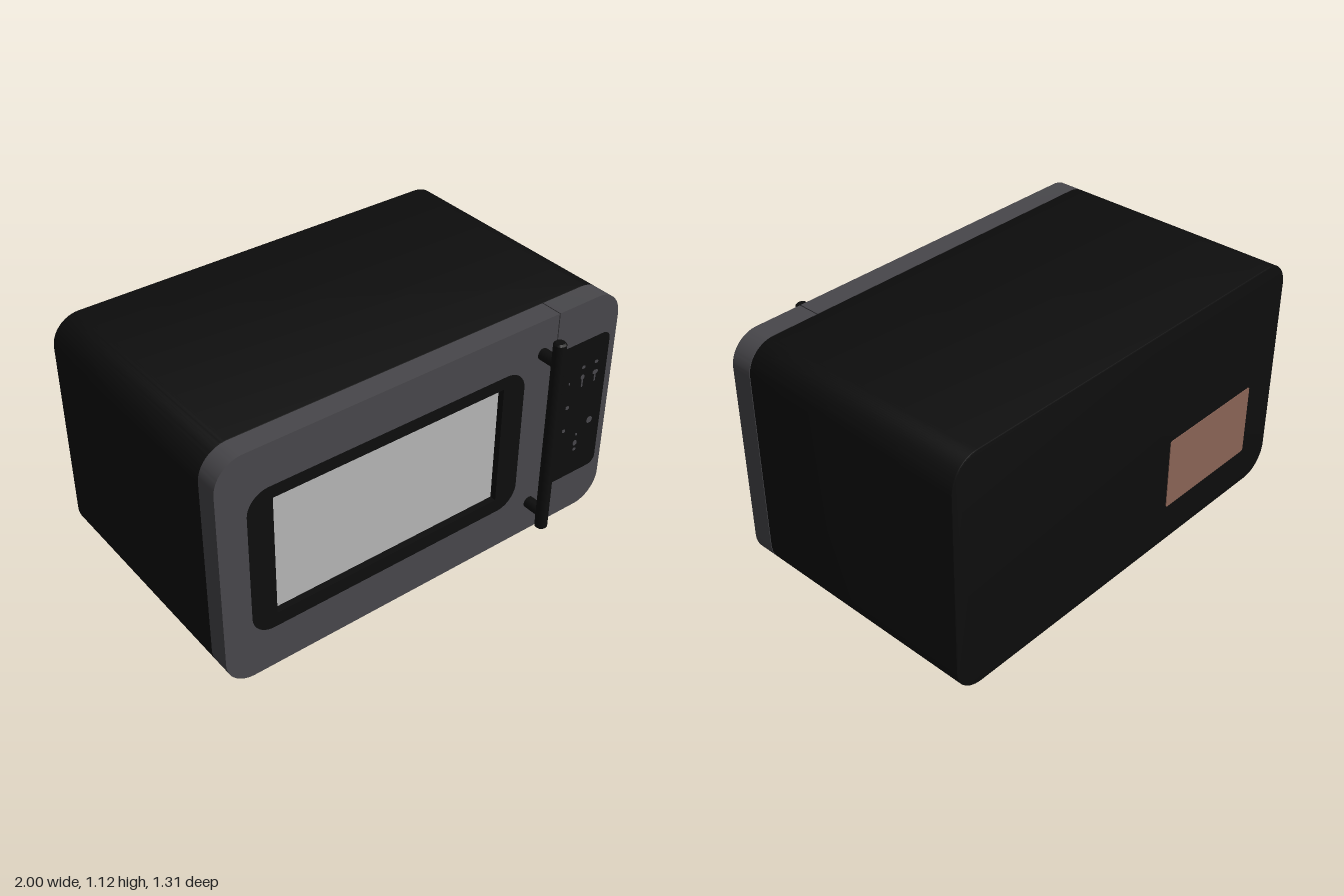
import * as THREE from 'three';
import { toCreasedNormals } from 'three/addons/utils/BufferGeometryUtils.js';

const mat = (name, color) => {
  const m = new THREE.MeshStandardMaterial({ color });
  m.name = name;
  return m;
};

// Rounded rectangle path; radii run bottom-left, bottom-right, top-right, top-left
function roundRect(path, x0, y0, x1, y1, [a, b, c, d]) {
  const H = Math.PI / 2;
  path.moveTo(x0 + a, y0);
  path.lineTo(x1 - b, y0);
  if (b) path.absarc(x1 - b, y0 + b, b, -H, 0, false);
  path.lineTo(x1, y1 - c);
  if (c) path.absarc(x1 - c, y1 - c, c, 0, H, false);
  path.lineTo(x0 + d, y1);
  if (d) path.absarc(x0 + d, y1 - d, d, H, 2 * H, false);
  path.lineTo(x0, y0 + a);
  if (a) path.absarc(x0 + a, y0 + a, a, 2 * H, 3 * H, false);
  return path;
}

// Slab between two z positions, with an optional hole and edge bevel
function slab(name, material, rect, radii, z0, z1, hole, holeRadii, bevel = 0) {
  const [x0, y0, x1, y1] = rect;
  const shape = roundRect(new THREE.Shape(), x0, y0, x1, y1, radii);
  if (hole) shape.holes.push(roundRect(new THREE.Path(), ...hole, holeRadii));
  const geo = new THREE.ExtrudeGeometry(shape, {
    depth: z1 - z0 - 2 * bevel, curveSegments: 12, bevelEnabled: bevel > 0,
    bevelSize: bevel, bevelThickness: bevel, bevelOffset: -bevel, bevelSegments: 2,
  });
  geo.translate(0, 0, z0 + bevel);
  const mesh = new THREE.Mesh(toCreasedNormals(geo, 0.6), material);
  mesh.name = name;
  return mesh;
}

export function createModel() {
  const black = mat('black casing', 0x0d0d0d);
  const gray = mat('dark gray front', 0x48474b);
  const silver = mat('window glass', 0xb6b6b6);
  const brown = mat('brown label', 0x8a6456);
  const model = new THREE.Group();
  model.name = 'microwave';

  const R = 0.13, bottom = 0.03, top = 1.123, front = 0.538;
  const frame = [-0.87, 0.23, 0.485, 0.928];
  const glass = [-0.755, 0.297, 0.37, 0.87];
  const four = (r) => [r, r, r, r];

  // Casing
  model.add(slab('casing', black, [-1, bottom, 1, top], four(R), -0.652, 0.437, null, null, 0.005));

  // Door, its window frame and the recessed glass
  model.add(slab('door', gray, [-1, bottom, 0.648, top], [R, 0, 0, R], 0.437, front, frame, four(0.1)));
  model.add(slab('windowFrame', black, frame, four(0.1), 0.44, front, glass, four(0)));
  model.add(slab('windowGlass', silver, glass, four(0), 0.5, 0.508));

  // Control side
  model.add(slab('controlSurround', gray, [0.653, bottom, 1, top], [0, R, R, 0], 0.437, front));
  model.add(slab('controlPanel', black, [0.695, 0.23, 0.965, 0.928], [0.015, 0.04, 0.04, 0.015], front - 0.002, front + 0.002));

  // Small control marks: x, y, width, height
  const marks = [
    [0.825, 0.795, 0.02, 0.014], [0.9, 0.795, 0.02, 0.014],
    [0.825, 0.745, 0.022, 0.022], [0.9, 0.742, 0.03, 0.02],
    [0.825, 0.715, 0.008, 0.04], [0.9, 0.715, 0.008, 0.04],
    [0.748, 0.74, 0.006, 0.012], [0.752, 0.615, 0.02, 0.016],
    [0.745, 0.495, 0.018, 0.016], [0.9, 0.49, 0.032, 0.032],
    [0.828, 0.442, 0.012, 0.012], [0.825, 0.397, 0.022, 0.026], [0.825, 0.362, 0.018, 0.014],
  ];
  for (const [x, y, w, h] of marks) {
    const r = Math.min(w, h) * 0.45;
    model.add(slab('controlMark', gray, [x - w / 2, y - h / 2, x + w / 2, y + h / 2], four(r), front + 0.001, front + 0.004));
  }

  // Handle: upright bar on two posts
  const handle = new THREE.Group();
  handle.name = 'handle';
  const r = 0.028, half = 0.478;
  const barProfile = [[0, -half], [0.02, -half], [r, -half + 0.008], [r, half - 0.008], [0.02, half], [0, half]]
    .map(([x, y]) => new THREE.Vector2(x, y));
  const bar = new THREE.Mesh(toCreasedNormals(new THREE.LatheGeometry(barProfile, 24), 0.6), black);
  bar.name = 'handleBar';
  bar.position.set(0.573, 0.585, 0.626);
  handle.add(bar);
  for (const y of [0.188, 0.962]) {
    const post = new THREE.Mesh(new THREE.CylinderGeometry(0.027, 0.027, 0.1, 20), black);
    post.name = 'handlePost';
    post.rotation.x = Math.PI / 2;
    post.position.set(0.573, y, 0.58);
    handle.add(post);
  }
  model.add(handle);

  // Feet with rounded undersides
  const footProfile = [[0, 0], [0.025, 0], [0.037, 0.007], [0.045, 0.02], [0.045, 0.04]]
    .map(([x, y]) => new THREE.Vector2(x, y));
  const footGeo = new THREE.LatheGeometry(footProfile, 24);
  for (const x of [-0.78, 0.78]) for (const z of [-0.475, 0.305]) {
    const foot = new THREE.Mesh(footGeo, black);
    foot.name = 'foot';
    foot.position.set(x, 0, z);
    model.add(foot);
  }

  // Plain label on the back
  model.add(slab('backLabel', brown, [-0.82, 0.215, -0.26, 0.555], four(0.01), -0.655, -0.65));
  return model;
}
